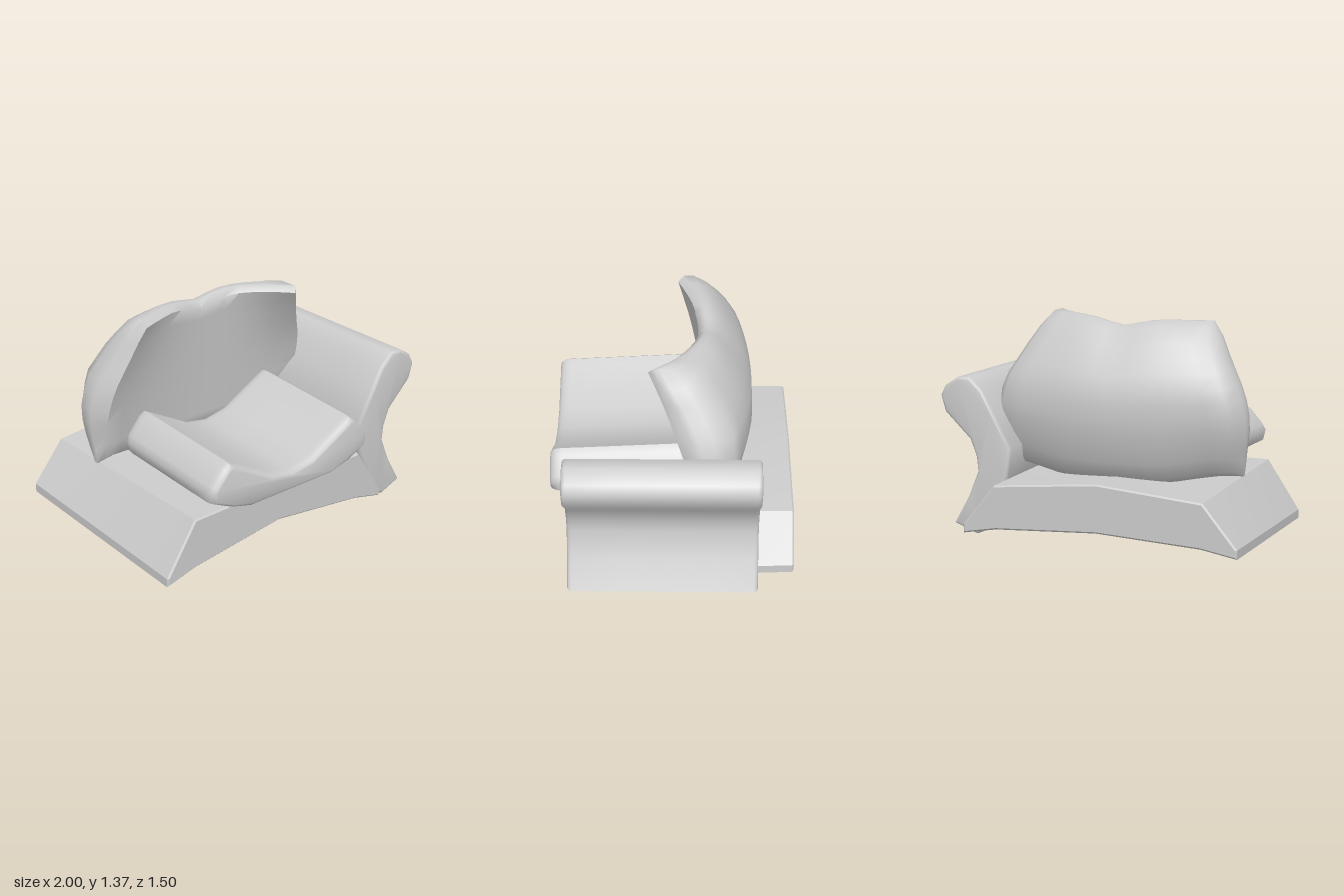
import * as THREE from 'three';
import { toCreasedNormals } from 'three/addons/utils/BufferGeometryUtils.js';

const material = new THREE.MeshStandardMaterial({ color: 0xcccccc });
const { clamp, lerp, mapLinear } = THREE.MathUtils;

// Applies a rule to every vertex of a geometry.
function reshape(geometry, rule) {
  const p = geometry.attributes.position;
  const v = new THREE.Vector3();
  for (let i = 0; i < p.count; i++) {
    rule(v.fromBufferAttribute(p, i));
    p.setXYZ(i, v.x, v.y, v.z);
  }
  return geometry;
}

// Outline in x, y extruded from z0 to z1, with the bevel kept inside the outline.
function prism(points, z0, z1, inset, round, segments) {
  const shape = new THREE.Shape(points.map(([x, y]) => new THREE.Vector2(x, y)));
  return new THREE.ExtrudeGeometry(shape, {
    depth: z1 - z0 - 2 * round, steps: 4,
    bevelThickness: round, bevelSize: inset, bevelOffset: -inset, bevelSegments: segments,
  }).translate(0, 0, z0 + round);
}

// Linear lookup in a short table of [key, value] pairs.
function lookup(table, k) {
  for (let i = 1; i < table.length; i++) {
    const [a, va] = table[i - 1], [b, vb] = table[i];
    if (k <= b) return mapLinear(k, a, b, va, vb);
  }
  return table[table.length - 1][1];
}

function part(name, geometry, crease) {
  const mesh = new THREE.Mesh(toCreasedNormals(geometry, crease), material);
  mesh.name = name;
  return mesh;
}

// Flared, arched base whose ends lift and whose top peaks towards the back.
function base() {
  const half = [[0.87, 0], [0.87, 0.055], [0.66, 0.375]];
  const points = [
    [-0.13, 0.138], [0.52, 0.055], ...half.map(([x, y]) => [x - 0.13, y]),
    [-0.13, 0.38], ...half.map(([x, y]) => [-x - 0.13, y]).reverse(), [-0.78, 0.055],
  ];
  const g = reshape(prism(points, -0.75, 0.64, 0.01, 0.01, 1), (v) => {
    const t = (0.64 - v.z) / 1.39;
    const e = Math.abs(v.x + 0.13) / 0.87;
    v.y += v.y < 0.2 ? 0.065 * t * e : 0.055 * t * t * Math.max(0, 1 - e / 0.76);
  });
  return part('base', g, 0.35);
}

// Rolled armrest on the model's left only.
function armrest() {
  const points = [
    [0.765, 0], [0.92, 0.06], [0.82, 0.235], [0.752, 0.40], [0.76, 0.49], [0.80, 0.60],
    [0.97, 0.765], [1, 0.865], [0.97, 0.93], [0.885, 0.985], [0.80, 0.99],
    [0.715, 0.91], [0.64, 0.77], [0.525, 0.56], [0.55, 0.36], [0.64, 0.17], [0.72, 0.02],
  ];
  return part('armrest', prism(points, -0.525, 0.635, 0.02, 0.025, 3), 0.9);
}

// Sagging seat cushion, symmetric about x = -0.125, with its top lower at the front.
function seatCushion() {
  const half = [
    [0.32, 0.38], [0.47, 0.435], [0.61, 0.53], [0.625, 0.60], [0.605, 0.64],
    [0.52, 0.74], [0.48, 0.765], [0.44, 0.745], [0.16, 0.59],
  ];
  const points = [
    ...half.map(([x, y]) => [x - 0.125, y]), [-0.125, 0.56],
    ...half.map(([x, y]) => [-x - 0.125, y]).reverse(),
  ];
  const g = reshape(prism(points, -0.11, 0.748, 0.035, 0.07, 4), (v) => {
    v.y -= 0.045 * clamp((v.z + 0.1) / 0.77, 0, 1) * clamp((v.y - 0.4) / 0.15, 0, 1);
  });
  return part('seatCushion', g, 0.85);
}

// Wrapped backrest: a divided slab bent around the seat and bulging at the rear.
function backrest() {
  const width = [[0, 0.785], [0.35, 0.82], [0.55, 0.78], [0.75, 0.68], [0.93, 0.595], [1, 0.54]];
  const rear = [[0, -0.38], [0.2, -0.46], [0.4, -0.5], [0.6, -0.49], [0.8, -0.4], [1, -0.26]];
  const g = reshape(new THREE.BoxGeometry(2, 1, 1, 12, 10, 4), (p) => {
    const outer = Math.abs(p.z) > 0.4;
    const u = p.x * (outer ? 0.91 : 1);
    const v = 0.5 + p.y * (outer ? 0.93 : 1);
    const a = Math.abs(u);
    const bottom = 0.38 + 0.06 * clamp((a - 0.4) / 0.4, 0, 1);
    const top = 1.315 + Math.min(0.045, a * 0.11) + 0.01 * u;
    const wrap = 0.21 + 0.06 * u * v - 0.12 * (1 - v);
    const corner = 0.12 * Math.max(u, 0) ** 3 * v ** 3;
    const front = -0.15 - 0.12 * (1 - v) + wrap * u * u + corner;
    const back = lookup(rear, v) + 0.13 * u * u + 0.04 * u * v * a;
    // the rim turns over further back than the front face
    const depth = p.z > 0.2 && !outer ? 0.62 : p.z + 0.5;
    p.x = -0.095 + u * lookup(width, v);
    p.y = lerp(bottom, top, v);
    p.z = lerp(back, front, depth);
  });
  return part('backrest', g, 1);
}

export function createModel() {
  const group = new THREE.Group();
  group.name = 'armchair';
  group.add(base(), armrest(), seatCushion(), backrest());
  return group;
}
